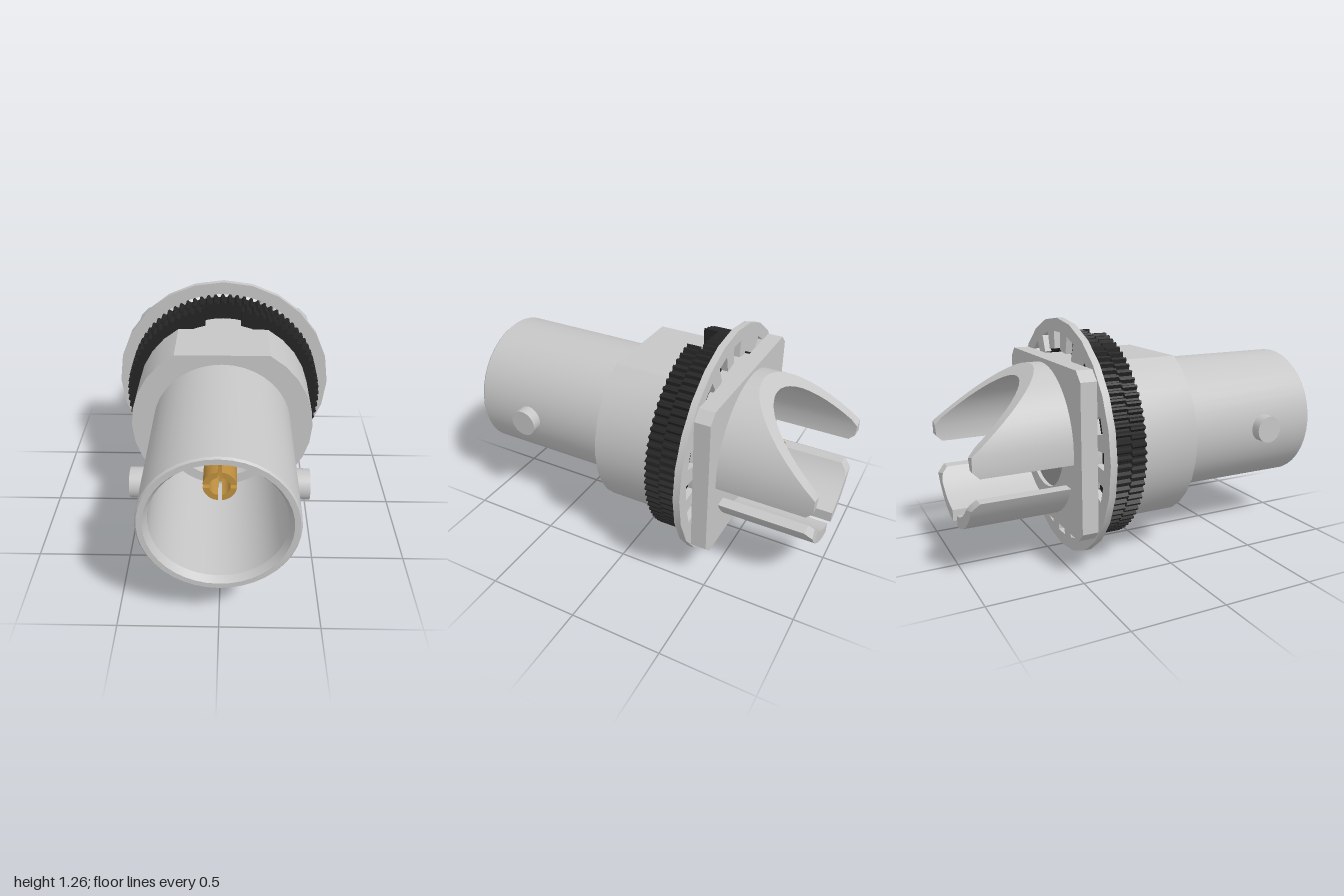
import * as THREE from 'three';
import { toCreasedNormals } from 'three/addons/utils/BufferGeometryUtils.js';

const mat = (name, color) => {
  const m = new THREE.MeshStandardMaterial({ color });
  m.name = name;
  return m;
};

// Point at radius r, angle a
const polar = (r, a) => new THREE.Vector2(r * Math.cos(a), r * Math.sin(a));

// Points along an arc
const arc = (r, a0, a1, n) =>
  Array.from({ length: n + 1 }, (_, i) => polar(r, a0 + ((a1 - a0) * i) / n));

// Prism between two z positions from an outline and optional holes
function prism(points, z0, z1, holes = []) {
  const shape = new THREE.Shape(points);
  shape.holes = holes.map((h) => new THREE.Path(h));
  const g = new THREE.ExtrudeGeometry(shape, { depth: z1 - z0, bevelEnabled: false });
  g.translate(0, 0, z0);
  return toCreasedNormals(g, 0.4);
}

// Solid of revolution about z, profile given as [radius, z]
function turned(profile, segments = 40) {
  const g = new THREE.LatheGeometry(profile.map(([r, z]) => new THREE.Vector2(r, z)), segments);
  g.rotateX(Math.PI / 2);
  return toCreasedNormals(g, 0.5);
}

// Circle with flats cut on top and bottom
function flattedCircle(r, flat, n = 10) {
  const a = Math.asin(flat / r);
  return [...arc(r, -a, a, n), ...arc(r, Math.PI - a, Math.PI + a, n)];
}

// Curved wall behind the flange; endZ gives its rear edge as a function of height
function curvedWall(outer, inner, steps, endZ) {
  const sections = steps.map((t) => {
    const [o, i] = [outer, inner].map(({ r, a0, a1 }) => polar(r, a0 + (a1 - a0) * t));
    return [[o.x, o.y, -0.49], [o.x, o.y, endZ(o.y)], [i.x, i.y, endZ(i.y)], [i.x, i.y, -0.49]];
  });
  const pos = [];
  const quad = (a, b, c, d) => pos.push(...a, ...b, ...c, ...a, ...c, ...d);
  for (let s = 0; s < sections.length - 1; s++) {
    const p = sections[s], q = sections[s + 1];
    for (let k = 0; k < 4; k++) quad(p[k], p[(k + 1) % 4], q[(k + 1) % 4], q[k]);
  }
  const first = sections[0], last = sections[sections.length - 1];
  quad(first[3], first[2], first[1], first[0]);
  quad(last[0], last[1], last[2], last[3]);
  const g = new THREE.BufferGeometry();
  g.setAttribute('position', new THREE.Float32BufferAttribute(pos, 3));
  return toCreasedNormals(g, 0.4);
}

export function createModel() {
  const silver = mat('silver metal', 0xc6c6c6);
  const grey = mat('grey insulator', 0x999999);
  const gold = mat('gold contact', 0xbd8e3e);
  const black = mat('black nut', 0x242424);

  const model = new THREE.Group();
  model.name = 'coaxialSocket';
  const axis = new THREE.Group();
  axis.name = 'socketAxis';
  axis.position.y = 0.63;
  model.add(axis);
  const add = (name, geometry, material) => {
    const mesh = new THREE.Mesh(geometry, material);
    mesh.name = name;
    axis.add(mesh);
    return mesh;
  };
  const TAU = Math.PI * 2;
  const bore = arc(0.265, 0, TAU, 40).slice(0, -1);

  // Front barrel with stepped bore
  add('barrel', turned([
    [0.375, 0.14], [0.375, 0.99], [0.367, 1], [0.34, 1], [0.32, 0.965],
    [0.32, 0.25], [0.265, 0.25], [0.265, -0.5],
  ]), silver);

  // Bayonet pegs
  for (const s of [-1, 1]) {
    const g = new THREE.CylinderGeometry(0.075, 0.075, 0.09, 24);
    g.rotateZ(Math.PI / 2);
    add('bayonetPeg', g, silver).position.set(s * 0.385, 0, 0.67);
  }

  // Body with two flats, narrower neck and rear flange
  add('body', prism(flattedCircle(0.495, 0.427), -0.18, 0.15, [bore]), silver);
  add('neck', prism(flattedCircle(0.458, 0.427), -0.42, -0.18, [bore]), silver);
  const fx = 0.495, fy = 0.427, c = 0.05;
  const flange = [
    [fx, -fy + c], [fx, fy - c], [fx - c, fy], [-fx + c, fy],
    [-fx, fy - c], [-fx, -fy + c], [-fx + c, -fy], [fx - c, -fy],
  ].map(([x, y]) => new THREE.Vector2(x, y));
  add('flange', prism(flange, -0.5, -0.415, [bore]), silver);

  // Toothed lock washer
  const teeth = 20, notches = [];
  for (let i = 0; i < teeth; i++) {
    const a = (i / teeth) * TAU, h = TAU / teeth / 4;
    notches.push(polar(0.468, a - h), polar(0.56, a - h), polar(0.56, a + h), polar(0.468, a + h));
  }
  const rim = arc(0.63, Math.PI / 2, Math.PI / 2 + TAU, 24).slice(0, -1);
  add('lockWasher', prism(rim, -0.412, -0.376, [notches]), silver);

  // Knurled nut, with a wrench slot at top and bottom of its front half
  const ridges = 84;
  const knurl = (a0, a1, n) => Array.from({ length: n * 4 + 1 }, (_, i) =>
    polar(i % 4 < 2 ? 0.56 : 0.542, a0 + ((a1 - a0) * i) / (n * 4)));
  add('nutRing', prism(knurl(0, TAU, ridges).slice(0, -1), -0.374, -0.26,
    [arc(0.46, 0, TAU, 48).slice(0, -1)]), black);
  for (const turn of [0, Math.PI]) {
    const ao = Math.acos(0.1 / 0.56), ai = Math.acos(0.1 / 0.46);
    const half = [...knurl(turn - ao, turn + ao, 37), ...arc(0.46, turn + ai, turn - ai, 22)];
    add('nutFrontHalf', prism(half, -0.26, -0.18), black);
  }

  // Insulator filling the bore
  add('insulator', turned([[0, -0.48], [0.264, -0.48], [0.264, 0.15], [0, 0.15]]), grey);

  // Centre contact: split socket in front, pin behind
  add('contactPin', turned([[0, -0.7], [0.05, -0.7], [0.05, -0.4]], 20), gold);
  add('contactSleeve', turned([[0.083, 0.1], [0.083, 0.55], [0, 0.53]], 24), gold);
  for (let i = 0; i < 4; i++) {
    const a = (i * Math.PI) / 2, q = Math.PI / 2;
    const so = Math.asin(0.01 / 0.083), si = Math.asin(0.01 / 0.052);
    const finger = [...arc(0.083, a + so, a + q - so, 6), ...arc(0.052, a + q - si, a + si, 6)];
    add('contactFinger', prism(finger, 0.54, 0.7), gold);
  }

  // Rear upper hood, cut off at a slant
  const ro = 0.405, ri = 0.345;
  const hoodArc = (r) => {
    const a = Math.asin(0.045 / r);
    return { r, a0: -a, a1: Math.PI + a };
  };
  const hoodSteps = [0, 0.026, 0.078];
  for (let i = 1; i < 24; i++) hoodSteps.push(0.078 + (0.844 * i) / 24);
  hoodSteps.push(0.922, 0.974, 1);
  add('rearHood', curvedWall(hoodArc(ro), hoodArc(ri), hoodSteps, (y) =>
    Math.max(-1 + Math.max(0, -0.01 - y), -0.565 - (ro - y) * 1.26)), silver);

  // Rear lower legs, separated by a narrow slit
  const legSteps = [0, 0.113, 0.25, 0.4, 0.55, 0.7, 0.85, 1];
  const legEnd = (y) => -1 + Math.max(0, y + 0.22);
  const legArc = (r) => ({ r, a0: -Math.acos(0.045 / r), a1: -Math.asin(0.18 / r) });
  const mirrorArc = ({ r, a0, a1 }) => ({ r, a0: -Math.PI - a1, a1: -Math.PI - a0 });
  add('leftLeg', curvedWall(legArc(ro), legArc(ri),
    legSteps.map((t) => 1 - t).reverse(), legEnd), silver);
  add('rightLeg', curvedWall(mirrorArc(legArc(ro)), mirrorArc(legArc(ri)), legSteps, legEnd), silver);

  return model;
}
